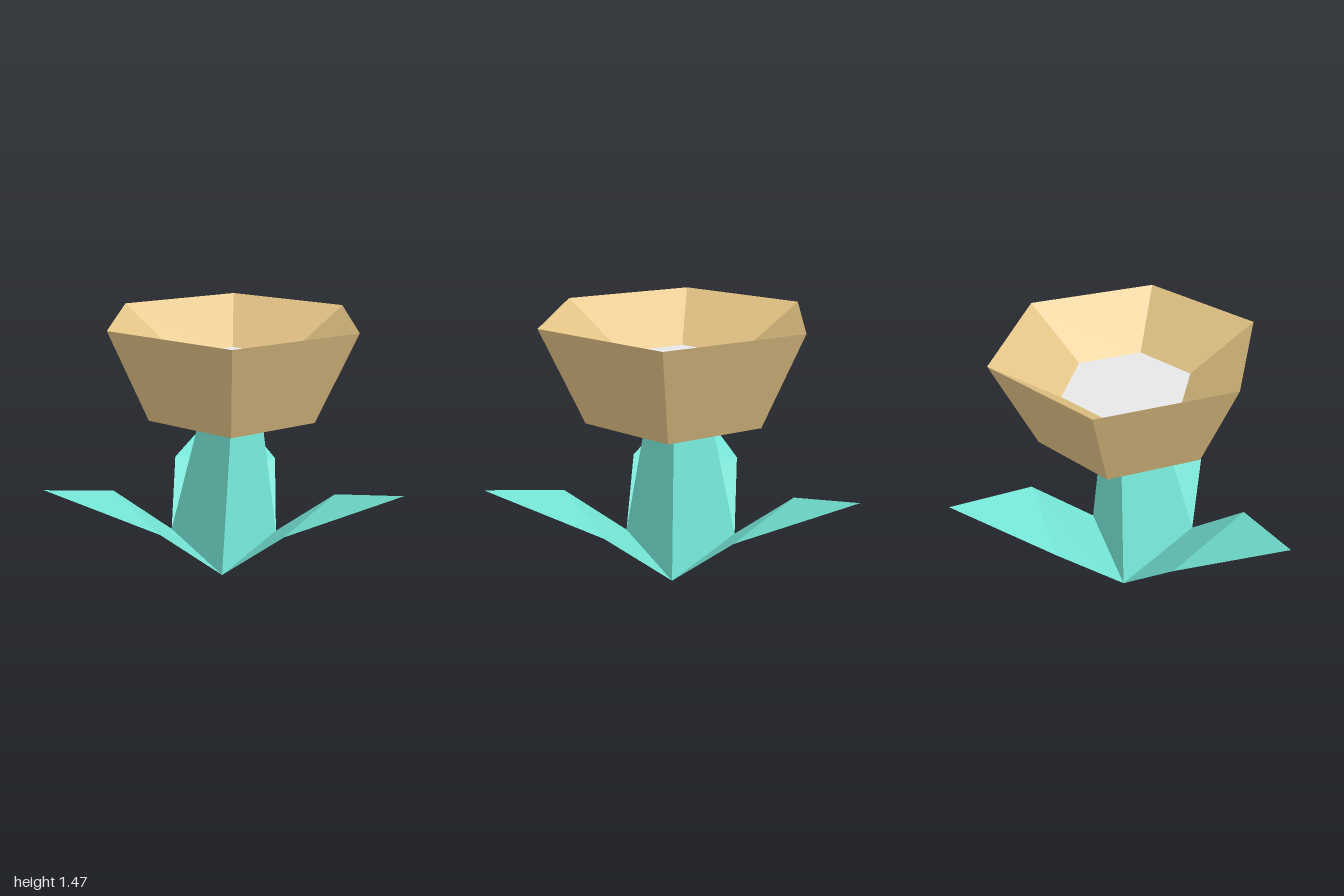
import * as THREE from 'three';

const teal = new THREE.MeshStandardMaterial({ color: 0x78ecdc, side: THREE.DoubleSide });
teal.name = 'teal';
const tan = new THREE.MeshStandardMaterial({ color: 0xe4c486 });
tan.name = 'tan';
const paleGrey = new THREE.MeshStandardMaterial({ color: 0xededed });
paleGrey.name = 'paleGrey';

// Faceted mesh: every face gets its own normal
function facetedMesh(name, geometry, material) {
  const flat = geometry.index ? geometry.toNonIndexed() : geometry;
  flat.computeVertexNormals();
  const mesh = new THREE.Mesh(flat, material);
  mesh.name = name;
  return mesh;
}

const STEM_X = 0.155, CUP_X = 0.205, CUP_Y = 0.915;

// Three-sided tapered stem, leaning slightly towards the cup
function createStem() {
  const geometry = new THREE.CylinderGeometry(0.2, 0.4, CUP_Y, 3, 1);
  geometry.rotateY(Math.PI / 2).translate(STEM_X, CUP_Y / 2, 0);
  const pos = geometry.attributes.position;
  for (let i = 0; i < pos.count; i++) {
    pos.setX(i, pos.getX(i) + (CUP_X - STEM_X) * pos.getY(i) / CUP_Y);
  }
  return facetedMesh('stem', geometry, teal);
}

// Leaf: a rising square panel with a flatter pointed tip, growing along +x
function createLeaf() {
  const w = 0.3464;
  const geometry = new THREE.BufferGeometry();
  geometry.setAttribute('position', new THREE.Float32BufferAttribute([
    0.2, 0, -w, 0.2, 0, w, 0.6, 0.36, w, 0.6, 0.36, -w, 1.145, 0.61, 0,
  ], 3));
  geometry.setIndex([0, 1, 2, 0, 2, 3, 3, 2, 4]);
  return facetedMesh('leaf', geometry, teal);
}

// Six-sided cup with sharp rim and sloping inside walls
function createCup() {
  const cup = new THREE.Group();
  cup.name = 'cup';
  cup.position.x = CUP_X;
  const profile = [[0.55, CUP_Y], [0.785, 1.465], [0.395, 1.19]]
    .map(([r, y]) => new THREE.Vector2(r, y));
  cup.add(facetedMesh('cupWalls', new THREE.LatheGeometry(profile, 6, Math.PI / 2), tan));

  const base = new THREE.CircleGeometry(0.55, 6).rotateX(Math.PI / 2).translate(0, CUP_Y, 0);
  cup.add(facetedMesh('cupBase', base, tan));

  const floor = new THREE.CircleGeometry(0.395, 6).rotateX(-Math.PI / 2).translate(0, 1.19, 0);
  cup.add(facetedMesh('cupFloor', floor, paleGrey));
  return cup;
}

export function createModel() {
  const model = new THREE.Group();
  model.name = 'flower';
  model.add(createStem(), createCup());

  // One leaf on each side of the stem
  const leaves = new THREE.Group();
  leaves.name = 'leaves';
  leaves.position.x = STEM_X;
  for (const turn of [Math.PI / 3, Math.PI, -Math.PI / 3]) {
    const leaf = createLeaf();
    leaf.rotation.y = turn;
    leaves.add(leaf);
  }
  model.add(leaves);
  return model;
}
